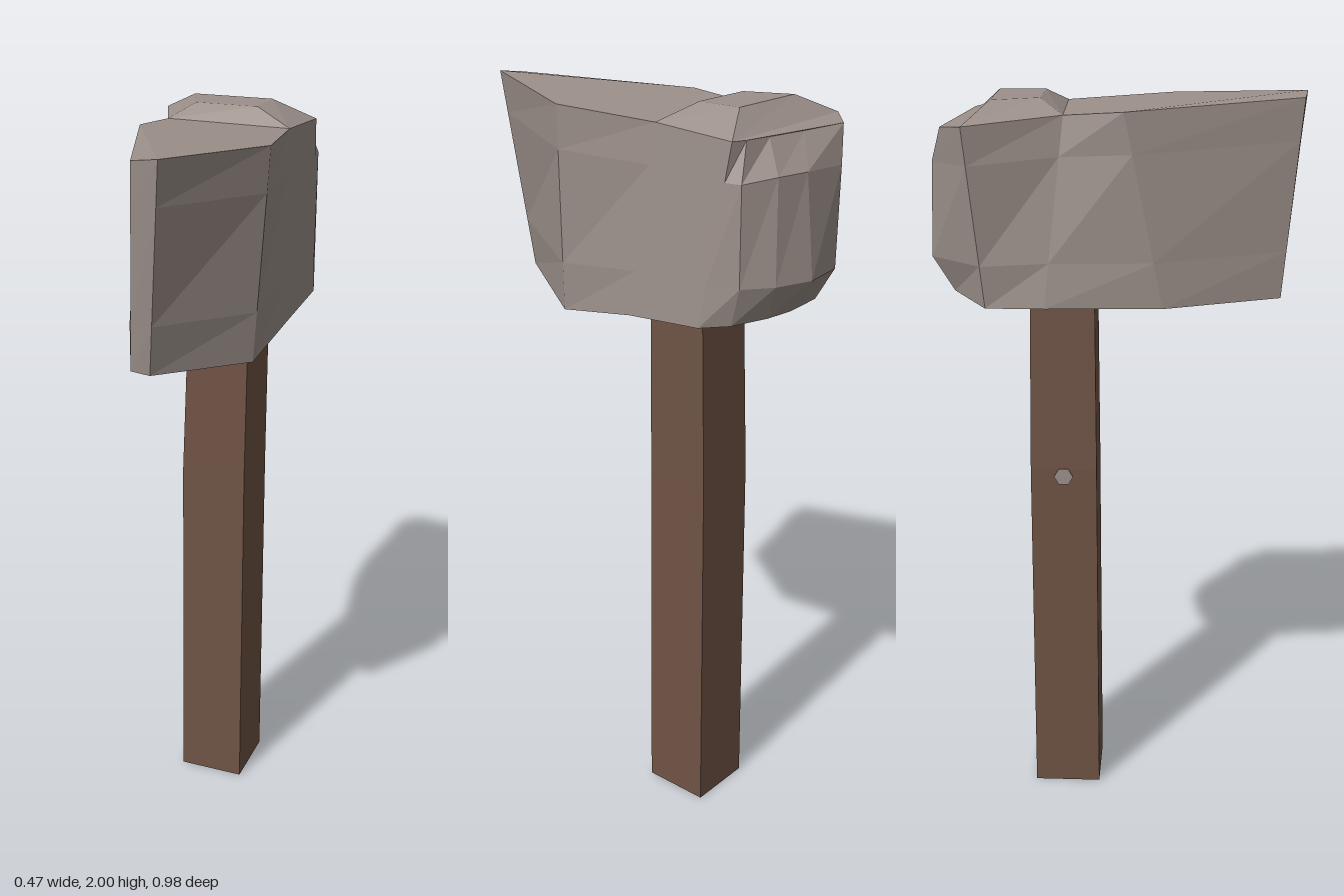
import * as THREE from 'three';

const stone = new THREE.MeshStandardMaterial({ color: 0x9c908a });
stone.name = 'stone';
const wood = new THREE.MeshStandardMaterial({ color: 0x6f5345 });
wood.name = 'wood';

// Faceted mesh from a list of quads, each counter-clockwise seen from outside
function facetMesh(name, quads, material) {
  const pos = [];
  for (const [a, b, c, d] of quads) pos.push(...a, ...b, ...c, ...a, ...c, ...d);
  const g = new THREE.BufferGeometry();
  g.setAttribute('position', new THREE.Float32BufferAttribute(pos, 3));
  g.computeVertexNormals();
  const mesh = new THREE.Mesh(g, material);
  mesh.name = name;
  return mesh;
}

// Walls between two loops, lower one first
const walls = (lo, hi) => lo.map((p, i) => {
  const j = (i + 1) % lo.length;
  return [p, lo[j], hi[j], hi[i]];
});

// Fill a loop with strips running across it
function cap(loop, down = false) {
  const quads = [], n = loop.length;
  for (let i = 0; i < n / 2 - 1; i++) {
    const q = [loop[i], loop[i + 1], loop[n - 2 - i], loop[n - 1 - i]];
    quads.push(down ? q.reverse() : q);
  }
  return quads;
}

const mix = (a, b, t) => a.map((v, i) => v + (b[i] - v) * t);

export function createModel() {
  const group = new THREE.Group();
  group.name = 'stoneHatchet';

  // Head outlines: blade tip, right side, back, left side
  const top = [
    [0.09, 2, 0.485], [0.235, 1.975, 0.14], [0.19, 1.96, -0.14], [0.19, 1.945, -0.37],
    [0.155, 1.945, -0.385], [0.08, 1.94, -0.395], [-0.04, 1.94, -0.41], [-0.175, 1.94, -0.43],
    [-0.24, 1.95, -0.37], [-0.14, 1.965, -0.13], [-0.155, 1.975, 0.02], [0.02, 1.99, 0.475],
  ];
  const bottom = [
    [0.04, 1.47, 0.43], [0.205, 1.435, 0.16], [0.22, 1.475, -0.08], [0.22, 1.49, -0.3],
    [0.18, 1.5, -0.37], [0.1, 1.51, -0.42], [0.02, 1.51, -0.43], [-0.1, 1.51, -0.42],
    [-0.2, 1.49, -0.33], [-0.2, 1.49, -0.18], [-0.15, 1.48, 0.12], [-0.01, 1.475, 0.43],
  ];
  // Middle loops follow the straight sides and bulge only at the back
  const middle = (t, back) => bottom.map((p, i) => back[i - 4] ?? mix(p, top[i], t));
  const low = middle(0.24, [
    [0.19, 1.6, -0.4], [0.12, 1.6, -0.455], [0.02, 1.6, -0.49], [-0.1, 1.6, -0.475],
  ]);
  const high = middle(0.79, [
    [0.19, 1.85, -0.4], [0.11, 1.86, -0.445], [0.02, 1.86, -0.465], [-0.13, 1.85, -0.46],
  ]);

  // Raised block on top of the head
  const knob = [[0.085, 2, -0.19], [0.085, 2, -0.31], [-0.135, 2, -0.31], [-0.085, 2, -0.19]];
  const knobBase = [top[2], top[3], top[8], top[9]];

  group.add(facetMesh('head', [
    ...walls(bottom, low), ...walls(low, high), ...walls(high, top),
    ...cap(bottom, true),
    ...cap([...top.slice(0, 3), ...top.slice(9)]),
    ...cap(top.slice(3, 9)),
    ...walls(knobBase, knob), ...cap(knob),
  ], stone));

  // Handle, slightly bent and narrower towards the head
  const section = (y, x0, x1, z0, z1) => [[x1, y, z1], [x1, y, z0], [x0, y, z0], [x0, y, z1]];
  const foot = section(0, -0.075, 0.11, -0.24, -0.053);
  const waist = section(1, -0.073, 0.11, -0.237, -0.056);
  const neck = section(1.52, -0.055, 0.115, -0.23, -0.06);
  group.add(facetMesh('handle', [
    ...walls(foot, waist), ...walls(waist, neck), ...cap(foot, true), ...cap(neck),
  ], wood));

  // Small stud set in the handle's side
  const stud = new THREE.Mesh(new THREE.CylinderGeometry(0.026, 0.026, 0.006, 6), stone);
  stud.name = 'stud';
  stud.rotation.z = Math.PI / 2;
  stud.position.set(-0.074, 0.98, -0.147);
  group.add(stud);

  return group;
}
